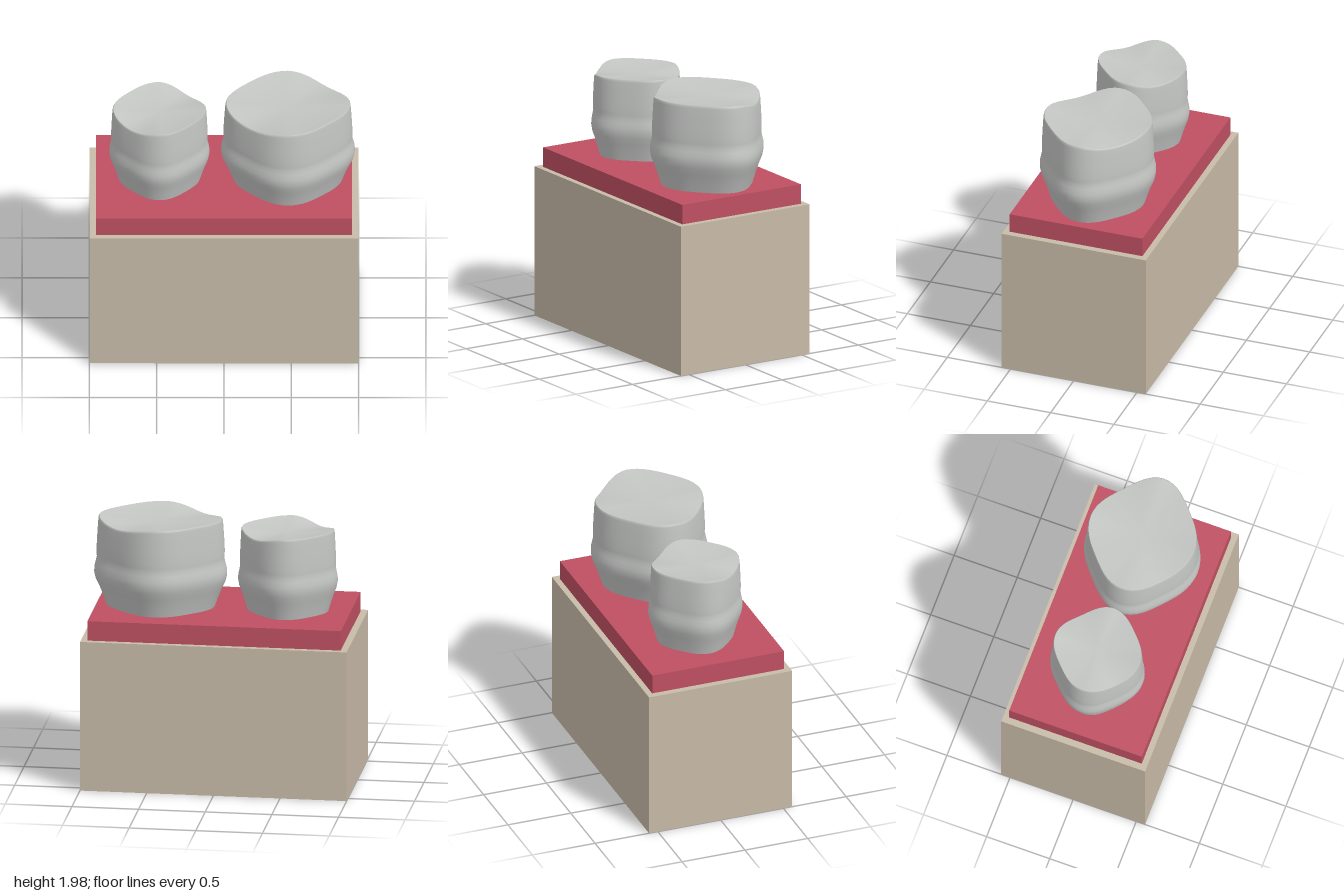
import * as THREE from 'three';

const SEG = 64;

// Smooth skin through closed rings; point(i, angle) gives [x, y, z]
function loft(rings, point) {
  const pos = [], idx = [];
  for (let i = 0; i < rings; i++) {
    for (let j = 0; j < SEG; j++) {
      pos.push(...point(i, (j / SEG) * Math.PI * 2));
      if (i === rings - 1) continue;
      const a = i * SEG + j, b = i * SEG + ((j + 1) % SEG);
      idx.push(a, a + SEG, b, b, a + SEG, b + SEG);
    }
  }
  const g = new THREE.BufferGeometry();
  g.setAttribute('position', new THREE.Float32BufferAttribute(pos, 3));
  g.setIndex(idx);
  g.computeVertexNormals();
  return g;
}

// Rounded diamond plan, and rim dip on two opposite diagonals
const plan = (a) => 0.95 + 0.05 * Math.cos(4 * a);
const dip = (a) => 0.04 * Math.pow(Math.max(0, -Math.sin(2 * a)), 1.5);

// Wall profile: [height fraction, radius fraction]
const PROFILE = [
  [0, 0.817], [0.1, 0.865], [0.21, 0.925], [0.29, 0.978], [0.36, 1], [0.42, 0.998],
  [0.48, 0.977], [0.53, 0.961], [0.57, 0.962], [0.63, 0.965], [0.75, 0.957],
  [0.88, 0.946], [0.97, 0.937], [0.99, 0.932], [1, 0.922],
];

function vessel(name, material, cx, rx, rz, y0, h) {
  const group = new THREE.Group();
  group.name = name;
  group.position.set(cx, y0, 0);

  const wall = new THREE.Mesh(loft(PROFILE.length, (i, a) => {
    const [t, r] = PROFILE[i], k = r * plan(a);
    return [rx * k * Math.cos(a), t * h - dip(a) * t ** 6, rz * k * Math.sin(a)];
  }), material);
  wall.name = name + 'Wall';

  // Shallow dished top following the wavy rim
  const n = 10;
  const top = new THREE.Mesh(loft(n + 1, (i, a) => {
    const f = 1 - i / n, k = f * 0.922 * plan(a);
    const y = h - dip(a) * f * f - 0.03 * (1 - f * f);
    return [rx * k * Math.cos(a), y, rz * k * Math.sin(a)];
  }), material);
  top.name = name + 'Top';

  group.add(wall, top);
  return group;
}

function block(name, material, w, h, d, y) {
  const m = new THREE.Mesh(new THREE.BoxGeometry(w, h, d), material);
  m.name = name;
  m.position.y = y + h / 2;
  return m;
}

function makeMaterial(name, color) {
  const m = new THREE.MeshStandardMaterial({ color });
  m.name = name;
  return m;
}

export function createModel() {
  const tan = makeMaterial('tan', 0xc8bba8);
  const red = makeMaterial('red', 0xbf5062);
  const grey = makeMaterial('grey', 0xc4c6c4);

  const model = new THREE.Group();
  model.name = 'vesselsOnPlinth';
  model.add(
    block('plinth', tan, 2, 1.15, 1.14, 0),
    block('slab', red, 1.9, 0.15, 1.05, 1.15),
    vessel('smallVessel', grey, -0.48, 0.372, 0.36, 1.3, 0.63),
    vessel('largeVessel', grey, 0.475, 0.497, 0.44, 1.3, 0.68),
  );
  return model;
}
